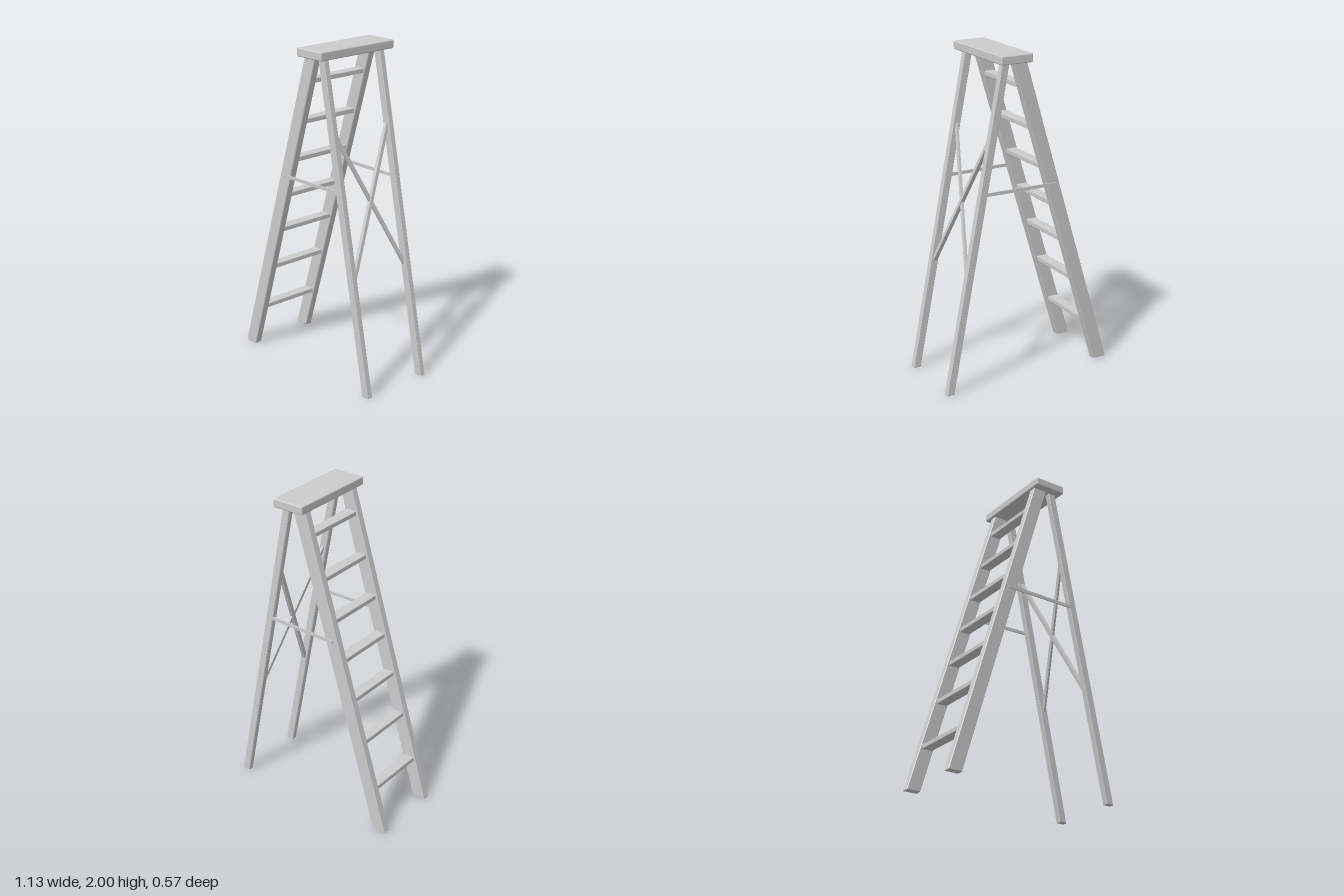
import * as THREE from 'three';
import { RoundedBoxGeometry } from 'three/addons/geometries/RoundedBoxGeometry.js';

const material = new THREE.MeshStandardMaterial({ color: 0xcccccc });

function add(parent, name, geometry, x = 0, y = 0, z = 0) {
  const mesh = new THREE.Mesh(geometry, material);
  mesh.name = name;
  mesh.position.set(x, y, z);
  parent.add(mesh);
  return mesh;
}

// Slanted plank: a parallelogram side outline extruded along z, with eased edges
function plank(bottom, top, height, thickness) {
  const b = 0.004;
  const shape = new THREE.Shape([
    new THREE.Vector2(bottom[0], 0), new THREE.Vector2(bottom[1], 0),
    new THREE.Vector2(top[1], height), new THREE.Vector2(top[0], height),
  ]);
  const geometry = new THREE.ExtrudeGeometry(shape, {
    depth: thickness - 2 * b, bevelEnabled: true, bevelSegments: 1,
    bevelSize: b, bevelThickness: b, bevelOffset: -b,
  });
  return geometry.translate(0, 0, b - thickness / 2);
}

// Flat bar between two points; width lies in the plane of `side` x length
function bar(parent, name, a, b, thickness, width, side) {
  const dir = b.clone().sub(a);
  const mesh = add(parent, name, new THREE.BoxGeometry(thickness, dir.length(), width));
  const y = dir.clone().normalize();
  const x = side.clone().addScaledVector(y, -side.dot(y)).normalize();
  const z = x.clone().cross(y);
  mesh.quaternion.setFromRotationMatrix(new THREE.Matrix4().makeBasis(x, y, z));
  mesh.position.copy(a).add(b).multiplyScalar(0.5);
}

export function createModel() {
  const ladder = new THREE.Group();
  ladder.name = 'stepladder';
  const H = 1.952;
  const V = (x, y, z) => new THREE.Vector3(x, y, z);
  const legX = (y) => 0.537 - 0.196 * y;
  const railX = (y) => -0.522 + 0.301 * y;

  // Top cap
  add(ladder, 'topCap', new RoundedBoxGeometry(0.205, 0.052, 0.566, 2, 0.008), 0.109, 1.974, -0.004);

  const frame = new THREE.Group();
  frame.name = 'frame';
  frame.position.z = -0.005;
  ladder.add(frame);

  for (const s of [1, -1]) {
    const side = s > 0 ? 'left' : 'right';

    // Wide step rail
    add(frame, side + 'StepRail', plank([-0.566, -0.478], [0.021, 0.109], H, 0.047), 0, 0, s * 0.2135);

    // Narrow support leg, splayed slightly outwards at the foot
    const leg = plank([0.513, 0.562], [0.13, 0.179], H, 0.038);
    leg.applyMatrix4(new THREE.Matrix4().makeShear(0, 0, 0, -s * 0.003, 0, 0));
    add(frame, side + 'SupportLeg', leg, 0, 0, s * 0.222);

    // Spreader stay with its hinge and pivot pins
    const stay = new THREE.Group();
    stay.name = side + 'Spreader';
    frame.add(stay);
    bar(stay, 'spreaderBar', V(-0.177, 1.2, s * 0.244), V(0.3, 1.2, s * 0.234), 0.007, 0.02, V(0, 0, 1));
    for (const [x, z, r] of [[railX(1.2), 0.241, 0.007], [0.095, 0.239, 0.007]]) {
      const pin = new THREE.CylinderGeometry(r, r, 0.018, 12).rotateX(Math.PI / 2);
      add(stay, 'pivotPin', pin, x, 1.2, s * z);
    }
  }

  // Treads
  for (const y of [0.27, 0.565, 0.828, 1.069, 1.305, 1.55, 1.804]) {
    add(frame, 'tread', new RoundedBoxGeometry(0.067, 0.028, 0.4, 1, 0.004), railX(y), y, 0);
  }

  // Crossed braces between the support legs
  for (const [s, thickness] of [[-1, 0.024], [1, 0.014]]) {
    bar(frame, 'crossBrace', V(legX(1.52), 1.52, s * 0.205), V(legX(0.69), 0.69, -s * 0.205),
      thickness, 0.022, V(0.98, 0.19, 0));
  }

  return ladder;
}
